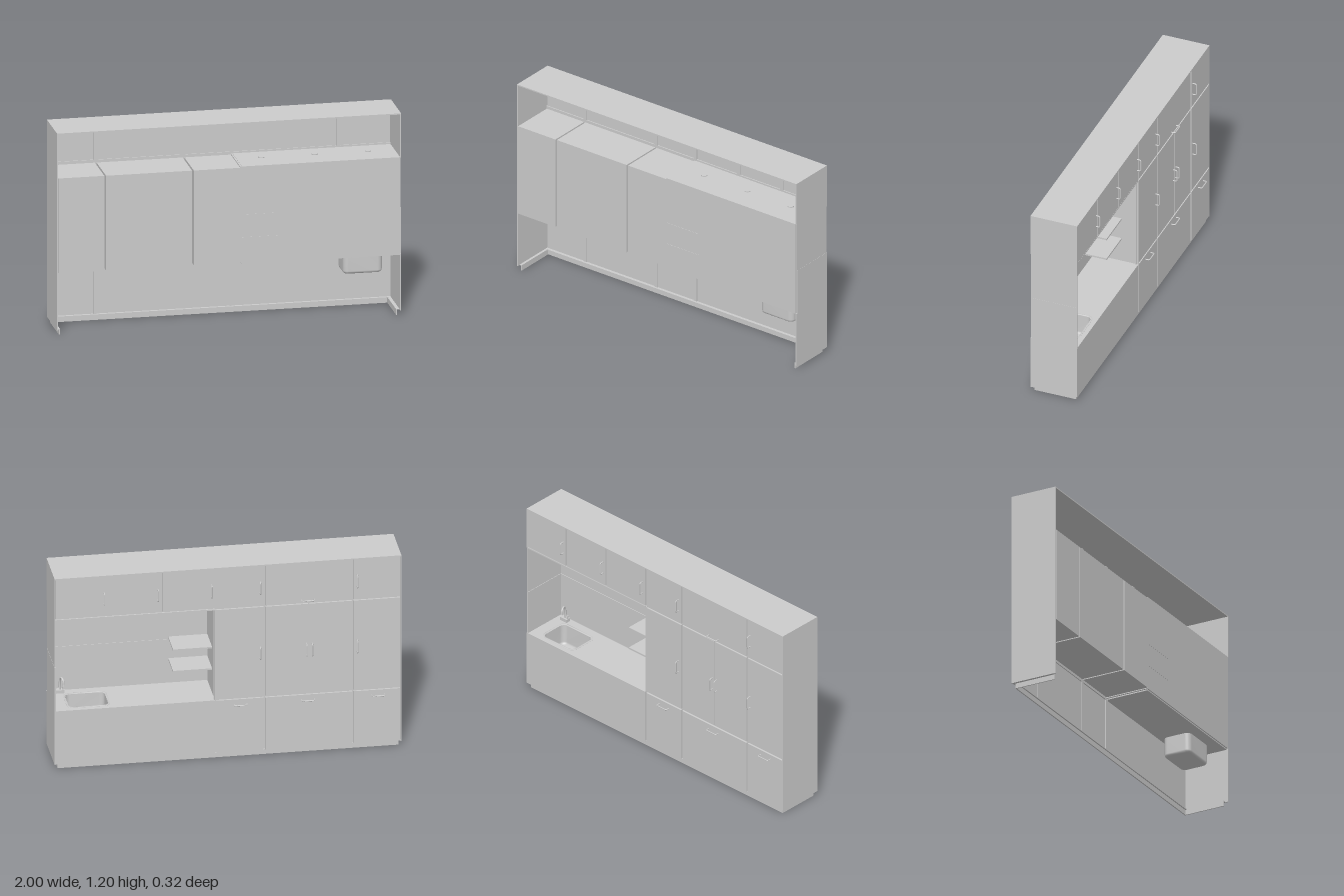
import * as THREE from 'three';

const mat = new THREE.MeshStandardMaterial({ color: 0xcccccc });
const matDouble = new THREE.MeshStandardMaterial({ color: 0xcccccc, side: THREE.DoubleSide });

const FRONT = -0.13, BACK = 0.157, T = 0.01, GAP = 0.005;

export function createModel() {
  const root = new THREE.Group();
  root.name = 'kitchenUnit';

  const add = (name, geo, material = mat) => {
    const m = new THREE.Mesh(geo, material);
    m.name = name;
    root.add(m);
    return m;
  };
  // box given by its extents
  const box = (name, x0, x1, y0, y1, z0, z1) =>
    add(name, new THREE.BoxGeometry(x1 - x0, y1 - y0, z1 - z0))
      .position.set((x0 + x1) / 2, (y0 + y1) / 2, (z0 + z1) / 2);
  const door = (name, x0, x1, y0, y1) =>
    box(name, x0 + GAP, x1 - GAP, y0 + GAP, y1 - GAP, FRONT, FRONT + 0.012);

  // bow handle with rounded corners, upright or lying
  const handle = (x, y, upright) => {
    const h = 0.037, d = 0.025, r = 0.009;
    const v = (a, z) => new THREE.Vector3(a, 0, z);
    const path = new THREE.CurvePath();
    path.add(new THREE.LineCurve3(v(-h, 0), v(-h, r - d)));
    path.add(new THREE.QuadraticBezierCurve3(v(-h, r - d), v(-h, -d), v(r - h, -d)));
    path.add(new THREE.LineCurve3(v(r - h, -d), v(h - r, -d)));
    path.add(new THREE.QuadraticBezierCurve3(v(h - r, -d), v(h, -d), v(h, r - d)));
    path.add(new THREE.LineCurve3(v(h, r - d), v(h, 0)));
    const m = add('handle', new THREE.TubeGeometry(path, 40, 0.0035, 8));
    m.position.set(x, y, FRONT + 0.002);
    if (upright) m.rotation.z = Math.PI / 2;
  };

  // outer shell: sides and top, open at the back
  box('rightSidePanel', -1, -0.994, 0.03, 1.2, FRONT, BACK);
  box('leftSideLower', 0.994, 1, 0.03, 0.365, FRONT, BACK);
  box('leftSideMiddle', 0.994, 0.999, 0.365, 0.938, FRONT + 0.002, 0.148);
  box('leftSideUpper', 0.994, 1, 0.938, 1.2, FRONT, BACK);
  box('topPanel', -1, 1, 1.193, 1.2, FRONT, BACK);

  // recessed plinth and the ledge above it
  box('plinthFront', -0.985, 0.98, 0, 0.03, -0.115, -0.108);
  box('bottomLedge', -0.994, 0.994, 0.03, 0.035, FRONT + 0.003, -0.1);
  for (const [x0, x1] of [[-0.985, -0.979], [0.974, 0.98]]) {
    box('plinthSide', x0, x1, 0, 0.03, -0.115, 0.14);
  }
  for (const [x0, x1] of [[-0.994, -0.979], [0.974, 0.994]]) {
    box('sideLedge', x0, x1, 0.03, 0.034, -0.115, 0.14);
  }

  // upper doors, with the frame strips that close the gaps
  const upper = [-0.997, -0.72, -0.21, 0.07, 0.38, 0.69, 0.997];
  for (let i = 0; i < 6; i++) {
    door('upperDoor', upper[i], upper[i + 1], 0.94, 1.198);
    if (i > 0) box('upperFrame', upper[i] - 0.011, upper[i] + 0.011, 0.94, 1.195, -0.119, -0.112);
  }
  box('upperRail', -0.994, 0.994, 0.93, 0.95, -0.119, -0.112);
  for (const x of [-0.745, -0.185, 0.095, 0.405, 0.715]) handle(x, 1.06, true);
  handle(-0.46, 0.963, false);

  // closed tall cabinets and the drawers below them
  for (let i = 0; i < 3; i++) {
    const x0 = upper[i], x1 = upper[i + 1];
    box('cabinetBody', x0 + GAP, x1 - GAP, 0.37, 0.933, -0.119, BACK);
    door('drawerFront', x0, x1, 0.03, 0.368);
    box('baseFrame', x1 - 0.011, x1 + 0.011, 0.03, 0.94, -0.119, -0.112);
    handle([-0.865, -0.46, -0.072][i], 0.333, false);
  }
  box('baseRail', -0.994, 0.07, 0.355, 0.38, -0.119, -0.112);
  door('middleDoor', upper[0], upper[1], 0.368, 0.94);
  door('middleDoor', upper[1], -0.463, 0.368, 0.94);
  door('middleDoor', -0.467, upper[2], 0.368, 0.94);
  door('middleDoor', upper[2], upper[3], 0.368, 0.94);
  for (const x of [-0.745, -0.485, -0.452, -0.185]) handle(x, 0.65, true);

  // worktop niche
  box('basePanel', 0.075, 0.997, 0.03, 0.36, FRONT, FRONT + 0.012);
  box('nicheBack', 0.075, 0.994, 0.365, 0.94, 0.148, BACK);
  box('nicheCeiling', 0.075, 0.994, 0.932, 0.94, FRONT + 0.002, BACK);
  box('nicheCheek', 0.066, 0.075, 0.365, 0.938, FRONT + 0.003, BACK);
  box('backsplash', 0.075, 0.994, 0.365, 0.64, 0.145, 0.149);
  box('sideSplash', 0.991, 1, 0.365, 0.64, FRONT + 0.002, 0.148);
  for (const y of [0.515, 0.65]) box('shelf', 0.075, 0.3, y - 0.005, y + 0.005, -0.027, 0.159);
  for (const x of [0.22, 0.53, 0.84]) {
    add('ceilingLight', new THREE.CylinderGeometry(0.018, 0.018, 0.016, 24)).position.set(x, 0.937, 0);
  }

  // rounded rectangle outline around the sink centre
  const cx = 0.795, cz = -0.005;
  const outline = (w, d, r) => {
    const pts = [];
    for (let q = 0; q < 4; q++) {
      const sx = q === 0 || q === 3 ? 1 : -1, sz = q < 2 ? 1 : -1;
      for (let k = 0; k <= 6; k++) {
        const a = (q + k / 6) * Math.PI / 2;
        pts.push(new THREE.Vector2(cx + sx * (w / 2 - r) + r * Math.cos(a), cz + sz * (d / 2 - r) + r * Math.sin(a)));
      }
    }
    return pts;
  };

  // worktop with the sink cut-out
  const top = new THREE.Shape([[0.075, FRONT], [0.994, FRONT], [0.994, 0.15], [0.075, 0.15]]
    .map(([x, z]) => new THREE.Vector2(x, z)));
  top.holes.push(new THREE.Path(outline(0.228, 0.172, 0.03)));
  const topGeo = new THREE.ExtrudeGeometry(top, { depth: 0.008, bevelEnabled: false });
  topGeo.rotateX(Math.PI / 2);
  add('worktop', topGeo).position.y = 0.366;

  // basin lofted from rim to floor: width, depth, corner radius, height
  const rings = [
    [0.25, 0.194, 0.036, 0.366], [0.25, 0.194, 0.036, 0.369], [0.232, 0.176, 0.032, 0.369],
    [0.228, 0.172, 0.03, 0.364], [0.228, 0.172, 0.03, 0.256], [0.222, 0.166, 0.028, 0.246],
    [0.206, 0.15, 0.022, 0.24], [0.01, 0.01, 0.004, 0.24],
  ];
  const pos = [], idx = [], n = 28;
  rings.forEach(([w, d, r, y], j) => {
    outline(w, d, r).forEach((p) => pos.push(p.x, y, p.y));
    for (let i = 0; j > 0 && i < n; i++) {
      const a = (j - 1) * n + i, b = (j - 1) * n + (i + 1) % n;
      idx.push(a, b, a + n, b, b + n, a + n);
    }
  });
  const basin = new THREE.BufferGeometry();
  basin.setAttribute('position', new THREE.Float32BufferAttribute(pos, 3));
  basin.setIndex(idx);
  basin.computeVertexNormals();
  add('sinkBasin', basin, matDouble);
  add('sinkDrain', new THREE.CylinderGeometry(0.014, 0.014, 0.003, 24)).position.set(cx, 0.242, cz);

  // tap: base block, gooseneck spout and lever
  box('tapBase', 0.905, 0.955, 0.366, 0.386, 0.1, 0.13);
  const spout = new THREE.CatmullRomCurve3([
    [0.93, 0.38, 0.115], [0.93, 0.44, 0.115], [0.927, 0.462, 0.105],
    [0.922, 0.466, 0.09], [0.917, 0.456, 0.076], [0.915, 0.43, 0.072],
  ].map((p) => new THREE.Vector3(...p)));
  add('tapSpout', new THREE.TubeGeometry(spout, 30, 0.006, 10), matDouble);
  box('tapLever', 0.908, 0.914, 0.386, 0.404, 0.11, 0.12);

  return root;
}
